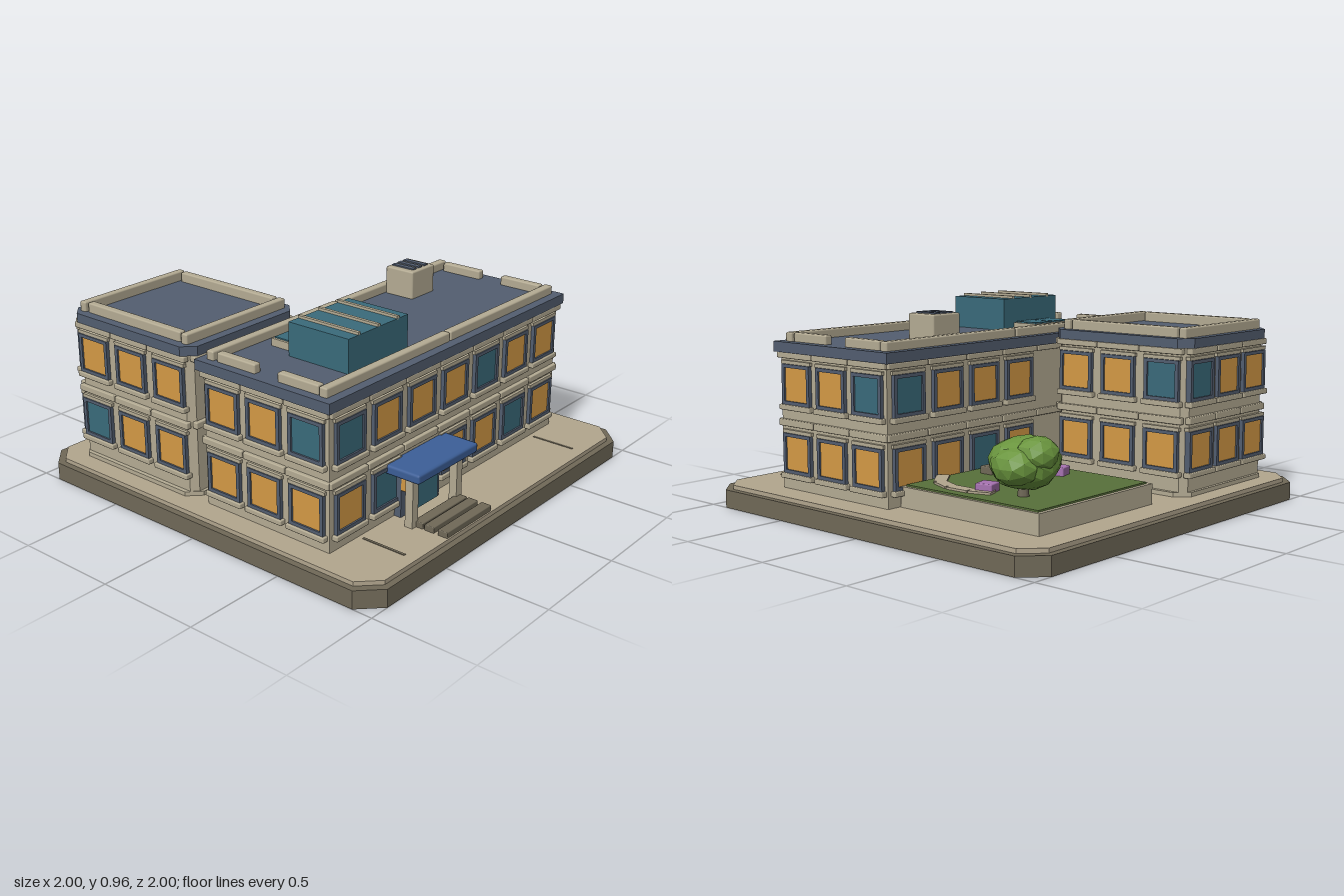
import * as THREE from 'three';
import { RoundedBoxGeometry } from 'three/addons/geometries/RoundedBoxGeometry.js';

const mat = (name, color, flat = false) => {
  const m = new THREE.MeshStandardMaterial({ color });
  m.name = name;
  m.flatShading = flat;
  return m;
};

export function createModel() {
  const M = {
    wall: mat('limestone', 0xb5ac94),
    plaza: mat('paving', 0xb2a68e),
    slate: mat('slate', 0x535e70),
    glow: mat('litWindow', 0xd59a45),
    teal: mat('tealGlass', 0x3a6b7b),
    blue: mat('canopyBlue', 0x3c5f98),
    grass: mat('grass', 0x58703a),
    leaf: mat('leaves', 0x6a953e, true),
    flower: mat('blossom', 0xa873b2),
    stone: mat('darkStone', 0x706958),
  };
  const root = new THREE.Group();
  root.name = 'campusBuilding';

  const group = (name, parent = root) => {
    const g = new THREE.Group();
    g.name = name;
    parent.add(g);
    return g;
  };
  const add = (parent, name, geo, m, x = 0, y = 0, z = 0) => {
    const mesh = new THREE.Mesh(geo, m);
    mesh.name = name;
    mesh.position.set(x, y, z);
    parent.add(mesh);
    return mesh;
  };
  // Box given by its limits on each axis
  const box = (p, name, m, x0, x1, y0, y1, z0, z1, bevel = 0) => add(p, name,
    bevel ? new RoundedBoxGeometry(x1 - x0, y1 - y0, z1 - z0, 1, bevel)
      : new THREE.BoxGeometry(x1 - x0, y1 - y0, z1 - z0),
    m, (x0 + x1) / 2, (y0 + y1) / 2, (z0 + z1) / 2);
  // Slab with its four corners cut off
  const slab = (p, name, m, cx, cz, hx, hz, cut, y0, y1) => {
    const pts = [[hx - cut, -hz], [hx, cut - hz], [hx, hz - cut], [hx - cut, hz],
      [cut - hx, hz], [-hx, hz - cut], [-hx, cut - hz], [cut - hx, -hz]];
    const geo = new THREE.ExtrudeGeometry(new THREE.Shape(pts.map(([x, y]) => new THREE.Vector2(x, y))),
      { depth: y1 - y0, bevelEnabled: false });
    return add(p, name, geo.rotateX(-Math.PI / 2), m, cx, y0, cz);
  };

  // Ground
  const ground = group('ground');
  slab(ground, 'basePlate', M.stone, 0, 0, 1, 1, 0.1, 0, 0.085);
  slab(ground, 'plaza', M.plaza, 0, 0, 0.97, 0.97, 0.09, 0.085, 0.105);
  for (const x of [-0.67, 0.66]) box(ground, 'pavingJoint', M.stone, x - 0.006, x + 0.006, 0.1, 0.108, 0.69, 0.91);

  // Window: slate frame, glass, sill and lintel, facing local +z
  const windowUnit = (p, x, y, glass) => {
    const w = group('window', p);
    w.position.set(x, y, 0);
    for (const s of [-1, 1]) {
      box(w, 'frameSide', M.slate, s * 0.085 - 0.009, s * 0.085 + 0.009, -0.093, 0.093, -0.01, 0.018);
      box(w, 'frameRail', M.slate, -0.08, 0.08, s * 0.085 - 0.008, s * 0.085 + 0.008, -0.01, 0.018);
    }
    box(w, 'glass', glass, -0.08, 0.08, -0.08, 0.08, 0.001, 0.01);
    box(w, 'sill', M.wall, -0.105, 0.105, -0.118, -0.093, -0.01, 0.028, 0.005);
    box(w, 'lintel', M.wall, -0.1, 0.1, 0.094, 0.11, -0.01, 0.014);
  };

  // One side of a building; rows are strings read left to right: o lit, t teal, - empty
  const facade = (p, cx, cz, angle, half, out, step, base, upper, lower) => {
    const f = group('facade', p);
    f.rotation.y = angle;
    f.position.set(cx + Math.sin(angle) * out, base, cz + Math.cos(angle) * out);
    const n = upper.length;
    [[lower, 0.275], [upper, 0.595]].forEach(([row, y]) => [...row].forEach((c, i) => {
      if (c !== '-') windowUnit(f, (i - (n - 1) / 2) * step, y, c === 't' ? M.teal : M.glow);
    }));
    // String courses in butted lengths
    const len = half * 2 / n;
    for (let i = 0; i < n; i++) {
      const x0 = -half + i * len + 0.003, x1 = x0 + len - 0.006;
      box(f, 'floorCourse', M.wall, x0, x1, 0.4, 0.432, -0.01, 0.018, 0.005);
      box(f, 'topCourse', M.wall, x0, x1, 0.715, 0.742, -0.01, 0.022, 0.005);
    }
  };

  // Main building
  const main = group('mainBuilding');
  box(main, 'mainWalls', M.wall, -0.86, 0.84, 0.1, 0.745, -0.035, 0.665);
  box(main, 'mainRoof', M.slate, -0.885, 0.865, 0.742, 0.79, -0.063, 0.688);
  facade(main, -0.01, 0.315, 0, 0.86, 0.35, 0.2425, 0, 'toootoo', 'ot-ooto');
  facade(main, -0.01, 0.315, Math.PI / 2, 0.36, 0.85, 0.235, 0, 'oot', 'ooo');
  facade(main, -0.01, 0.315, Math.PI, 0.86, 0.35, 0.2425, 0, 'tooo---', 'ooto---');
  facade(main, -0.01, 0.315, -Math.PI / 2, 0.36, 0.85, 0.235, 0, 'oot', 'ooo');
  for (const z of [-0.005, 0.623]) {
    box(main, 'parapet', M.wall, -0.85, -0.014, 0.785, 0.832, z - 0.021, z + 0.021, 0.008);
    box(main, 'parapet', M.wall, -0.008, 0.83, 0.785, 0.832, z - 0.021, z + 0.021, 0.008);
  }
  for (const x of [-0.825, 0.803]) for (const z of [0.14, 0.485])
    box(main, 'sideParapet', M.wall, x - 0.02, x + 0.02, 0.785, 0.832, z - 0.11, z + 0.11, 0.008);

  // Rear wing
  const wing = group('rearWing');
  slab(wing, 'wingPlinth', M.wall, -0.53, -0.49, 0.35, 0.385, 0.06, 0.1, 0.125);
  slab(wing, 'wingWalls', M.wall, -0.53, -0.49, 0.33, 0.37, 0.03, 0.1, 0.785);
  slab(wing, 'wingRoof', M.slate, -0.53, -0.49, 0.352, 0.39, 0.055, 0.778, 0.822);
  facade(wing, -0.53, -0.49, Math.PI / 2, 0.36, 0.33, 0.245, 0.035, 'oot', 'ooo');
  facade(wing, -0.53, -0.49, Math.PI, 0.32, 0.37, 0.22, 0.035, 'too', 'ooo');
  facade(wing, -0.53, -0.49, -Math.PI / 2, 0.36, 0.33, 0.245, 0.035, 'ooo', 'too');
  facade(wing, -0.53, -0.49, 0, 0.32, 0.37, 0.22, 0.035, '---', '---');
  for (const z of [-0.825, -0.165])
    box(wing, 'wingParapet', M.wall, -0.845, -0.215, 0.815, 0.868, z - 0.019, z + 0.019, 0.008);
  for (const x of [-0.82, -0.235])
    box(wing, 'wingSideParapet', M.wall, x - 0.019, x + 0.019, 0.815, 0.868, -0.795, -0.195, 0.008);

  // Rooftop skylights
  const sky = group('skylight');
  box(sky, 'skylightGlass', M.teal, -0.6, -0.2, 0.785, 0.945, 0.22, 0.55);
  for (const x of [-0.53, -0.4, -0.27]) box(sky, 'skylightRib', M.wall, x - 0.008, x + 0.008, 0.94, 0.957, 0.22, 0.55);
  box(sky, 'lowSkylightCurb', M.wall, -0.555, -0.275, 0.785, 0.825, 0.08, 0.22);
  for (const x of [-0.482, -0.348]) box(sky, 'lowSkylightPane', M.teal, x - 0.061, x + 0.061, 0.823, 0.831, 0.089, 0.212);

  // Rooftop vent
  const vent = group('roofVent');
  box(vent, 'ventBox', M.wall, 0.327, 0.5, 0.785, 0.924, 0.018, 0.178, 0.008);
  for (const x of [0.37, 0.414, 0.458]) box(vent, 'ventSlot', M.slate, x - 0.013, x + 0.013, 0.922, 0.93, 0.032, 0.158);

  // Entrance
  const entry = group('entrance');
  box(entry, 'doorSurround', M.slate, -0.425, -0.145, 0.105, 0.335, 0.66, 0.7);
  box(entry, 'door', M.teal, -0.37, -0.195, 0.128, 0.322, 0.69, 0.728);
  box(entry, 'canopy', M.blue, -0.5, -0.065, 0.335, 0.38, 0.66, 0.848, 0.012);
  for (const x of [-0.455, -0.133]) box(entry, 'canopyPost', M.wall, x - 0.02, x + 0.02, 0.1, 0.337, 0.76, 0.8);
  for (const x of [-0.413, -0.148]) box(entry, 'wallLamp', M.glow, x - 0.012, x + 0.012, 0.235, 0.295, 0.695, 0.73, 0.005);
  for (const z of [0.81, 0.868, 0.938]) box(entry, 'step', M.stone, -0.447, -0.118, 0.1, 0.132, z - 0.025, z + 0.025, 0.004);

  // Raised garden
  const garden = group('garden');
  box(garden, 'gardenCurb', M.wall, 0.0, 0.77, 0.1, 0.198, -0.828, -0.04);
  box(garden, 'lawn', M.grass, 0.02, 0.755, 0.19, 0.206, -0.81, -0.06);
  box(garden, 'bench', M.stone, 0.13, 0.36, 0.2, 0.24, -0.2, -0.13, 0.006);
  for (const x of [0.145, 0.385, 0.622])
    box(garden, 'flowerBed', M.flower, x - 0.04, x + 0.04, 0.2, 0.245, -0.455, -0.375, 0.006).rotation.y = 0.28;

  // Curved path of slabs
  const path = [[0.645, -0.47], [0.678, -0.37], [0.68, -0.255], [0.637, -0.15], [0.53, -0.065]];
  path.slice(1).forEach(([x, z], i) => {
    const [px, pz] = path[i];
    const s = add(garden, 'pathSlab', new THREE.BoxGeometry(0.058, 0.014, Math.hypot(x - px, z - pz)),
      M.plaza, (x + px) / 2, 0.209, (z + pz) / 2);
    s.rotation.y = Math.atan2(x - px, z - pz);
  });

  // Tree with faceted crown
  const tree = group('tree');
  add(tree, 'trunk', new THREE.CylinderGeometry(0.018, 0.026, 0.12, 7), M.stone, 0.59, 0.26, -0.59);
  const blob = (x, y, z, rx, ry, rz, detail) => {
    const geo = new THREE.IcosahedronGeometry(1, detail);
    const p = geo.attributes.position, v = new THREE.Vector3();
    for (let i = 0; i < p.count; i++) {
      v.fromBufferAttribute(p, i);
      v.multiplyScalar(1 + 0.05 * Math.sin(v.x * 5 + v.z * 3) * Math.cos(v.y * 4 + v.z * 2));
      p.setXYZ(i, v.x, v.y, v.z);
    }
    geo.scale(rx, ry, rz).computeVertexNormals();
    add(tree, 'crown', geo, M.leaf, x, y, z);
  };
  blob(0.575, 0.345, -0.585, 0.155, 0.115, 0.155, 2);
  blob(0.66, 0.345, -0.61, 0.105, 0.085, 0.11, 1);
  blob(0.59, 0.39, -0.665, 0.1, 0.08, 0.09, 1);
  blob(0.5, 0.36, -0.56, 0.09, 0.08, 0.09, 1);

  return root;
}
